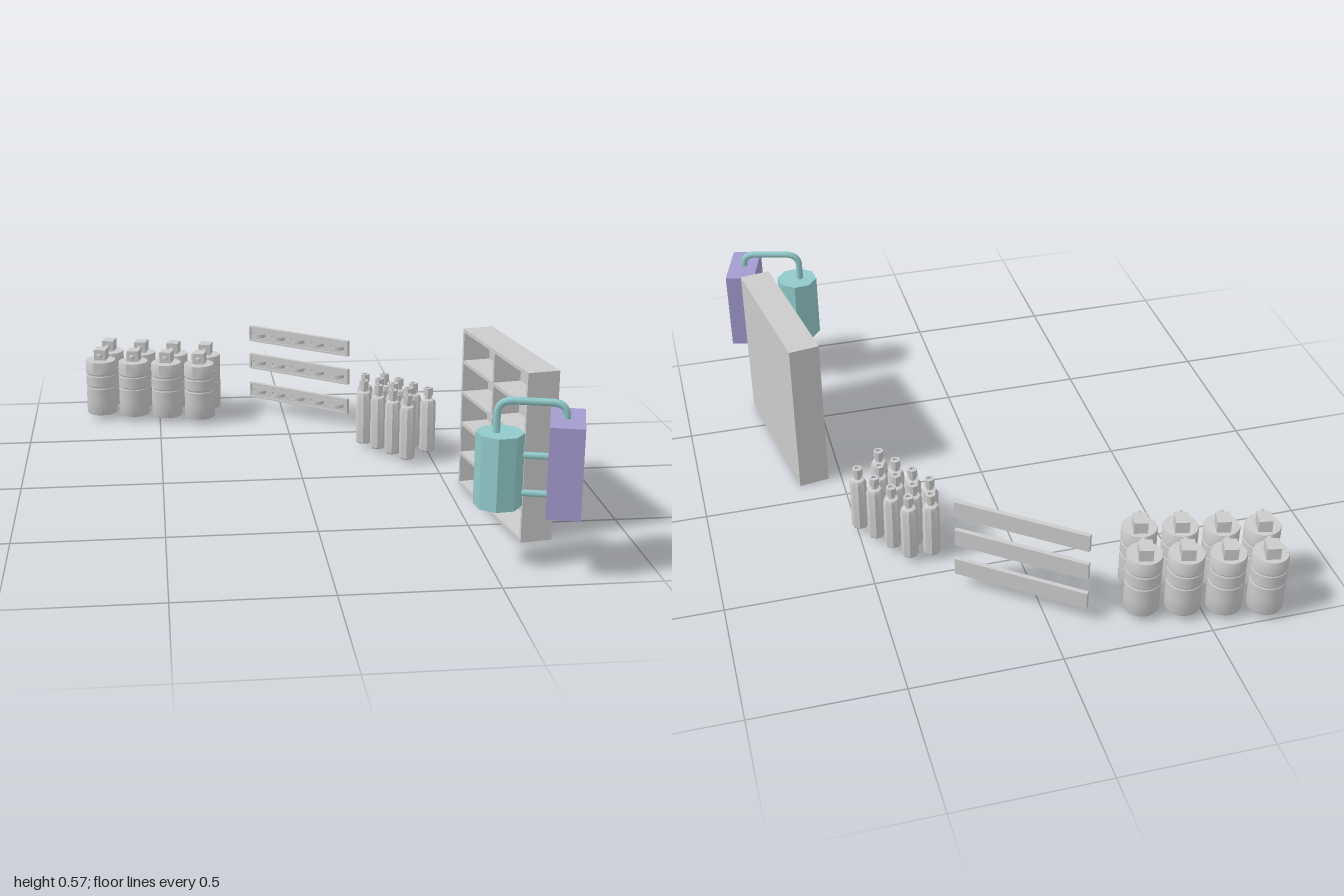
import * as THREE from 'three';
import { toCreasedNormals } from 'three/addons/utils/BufferGeometryUtils.js';

const mat = (name, color, side = THREE.FrontSide) => {
  const m = new THREE.MeshStandardMaterial({ color, side });
  m.name = name;
  return m;
};

export function createModel() {
  const model = new THREE.Group();
  const grey = mat('lightGrey', 0xcbcbcb, THREE.DoubleSide);
  const teal = mat('teal', 0x92caca);
  const purple = mat('lavender', 0xa39bcf);

  const add = (parent, name, geo, m, x = 0, y = 0, z = 0) => {
    const mesh = new THREE.Mesh(geo, m);
    mesh.name = name;
    mesh.position.set(x, y, z);
    parent.add(mesh);
    return mesh;
  };
  const group = (name, x, z, turn) => {
    const g = new THREE.Group();
    g.name = name;
    g.position.set(x, 0, z);
    g.rotation.y = turn;
    model.add(g);
    return g;
  };
  const box = (w, h, d) => new THREE.BoxGeometry(w, h, d);
  const lathe = (pts, sides, crease) => toCreasedNormals(
    new THREE.LatheGeometry(pts.map(p => new THREE.Vector2(...p)), sides), crease);

  // Two rows of drums, each with a pump head and nozzle
  const drumGeo = lathe([
    [0, 0.02], [0.058, 0.02], [0.06, 0.025], [0.06, 0.08], [0.06, 0.128], [0.058, 0.131],
    [0.058, 0.134], [0.06, 0.137], [0.06, 0.178], [0.058, 0.181], [0.058, 0.184],
    [0.06, 0.187], [0.06, 0.232], [0.058, 0.237], [0, 0.237]], 20, 0.5);
  const headGeo = box(0.046, 0.048, 0.055);
  const nozzleGeo = new THREE.CylinderGeometry(0.01, 0.01, 0.03, 10).rotateX(Math.PI / 2);
  const tapGeo = box(0.028, 0.04, 0.02);
  for (const [x0, z0] of [[-0.70, -0.941], [-0.73, -0.808]]) {
    for (let i = 0; i < 4; i++) {
      const drum = group('drum', x0 + i * 0.13, z0 + i * 0.032, -0.245);
      add(drum, 'drumBody', drumGeo, grey);
      add(drum, 'pumpHead', headGeo, grey, 0, 0.256, -0.012);
      add(drum, 'pumpNozzle', nozzleGeo, grey, 0, 0.256, 0.029);
      add(drum, 'tapPlate', tapGeo, grey, 0, 0.218, 0.051);
    }
  }

  // Three wall rails with five hoops each
  const rack = group('hoopRack', 0.058, -0.709, -0.647);
  const hoopGeo = new THREE.CylinderGeometry(0.029, 0.029, 0.012, 12, 1, true, -Math.PI / 2, Math.PI);
  for (const y of [0.083, 0.205, 0.32]) {
    add(rack, 'railPlate', box(0.458, 0.062, 0.01), grey, 0, y, -0.002);
    for (const s of [-1, 1]) {
      add(rack, 'railLip', box(0.458, 0.007, 0.006), grey, 0, y + s * 0.0275, 0.006);
      add(rack, 'railEnd', box(0.007, 0.048, 0.006), grey, s * 0.2255, y, 0.006);
    }
    for (let i = 0; i < 5; i++) {
      add(rack, 'hoop', hoopGeo, grey, -0.182 + i * 0.091, y, 0.004);
    }
  }

  // Three staggered rows of gas bottles
  const bottleGeo = lathe([
    [0, 0.02], [0.026, 0.02], [0.029, 0.024], [0.029, 0.205], [0.024, 0.218], [0.012, 0.222],
    [0.012, 0.232], [0.017, 0.234], [0.017, 0.264], [0.009, 0.264], [0.009, 0.256], [0, 0.256]], 8, 0.5);
  for (const [x0, z0] of [[0.283, -0.407], [0.357, -0.402], [0.267, -0.323]]) {
    for (let i = 0; i < 4; i++) {
      const bottle = group('gasBottle', x0 + i * 0.0443, z0 + i * 0.0655, -0.2);
      add(bottle, 'bottleBody', bottleGeo, grey);
    }
  }

  // Shelf cabinet, open towards -x
  const cabinet = group('shelfCabinet', 0.645, 0.376, 0.16);
  const W = 0.107, H = 0.57, L = 0.565, T = 0.012;
  add(cabinet, 'cabinetBack', box(T, H, L), grey, W / 2 - T / 2, H / 2, 0);
  for (const z of [-L / 2 + T / 2, 0, L / 2 - T / 2]) {
    add(cabinet, 'upright', box(W - T, H, T), grey, -T / 2, H / 2, z);
  }
  for (let i = 0; i <= 5; i++) {
    const y = T / 2 + i * (H - T) / 5;
    for (const s of [-1, 1]) {
      add(cabinet, 'shelf', box(W - T, T, L / 2 - 1.5 * T), grey, -T / 2, y, s * L / 4 - s * T / 4);
    }
  }

  // Eight-sided tank joined by pipes to a flat tank
  const turn = -0.277;
  const tank = group('octagonalTank', 0.516, 0.822, turn);
  add(tank, 'tankBody', toCreasedNormals(new THREE.CylinderGeometry(0.075, 0.075, 0.235, 8), 0.3),
    teal, 0, 0.3175, 0);
  const flat = group('flatTank', 0.709, 0.877, turn);
  add(flat, 'flatTankBody', box(0.105, 0.29, 0.204), purple, 0, 0.345, 0);

  // Arched pipe over the top
  const a = new THREE.Vector3(0.504, 0.43, 0.821);
  const b = new THREE.Vector3(0.705, 0.48, 0.876);
  const at = (t, y) => a.clone().lerp(b, t).setY(y);
  const arch = new THREE.CurvePath();
  arch.add(new THREE.LineCurve3(a, at(0, 0.49)));
  arch.add(new THREE.QuadraticBezierCurve3(at(0, 0.49), at(0, 0.537), at(0.24, 0.537)));
  arch.add(new THREE.LineCurve3(at(0.24, 0.537), at(0.78, 0.537)));
  arch.add(new THREE.QuadraticBezierCurve3(at(0.78, 0.537), at(1, 0.537), at(1, 0.497)));
  arch.add(new THREE.LineCurve3(at(1, 0.497), b));
  add(model, 'archedPipe', new THREE.TubeGeometry(arch, 40, 0.012, 8), teal);

  // Two short connecting pipes
  const linkGeo = new THREE.CylinderGeometry(0.011, 0.011, 0.12, 8).rotateZ(Math.PI / 2);
  for (const y of [0.243, 0.365]) add(tank, 'linkPipe', linkGeo, teal, 0.1, y, 0);

  return model;
}
